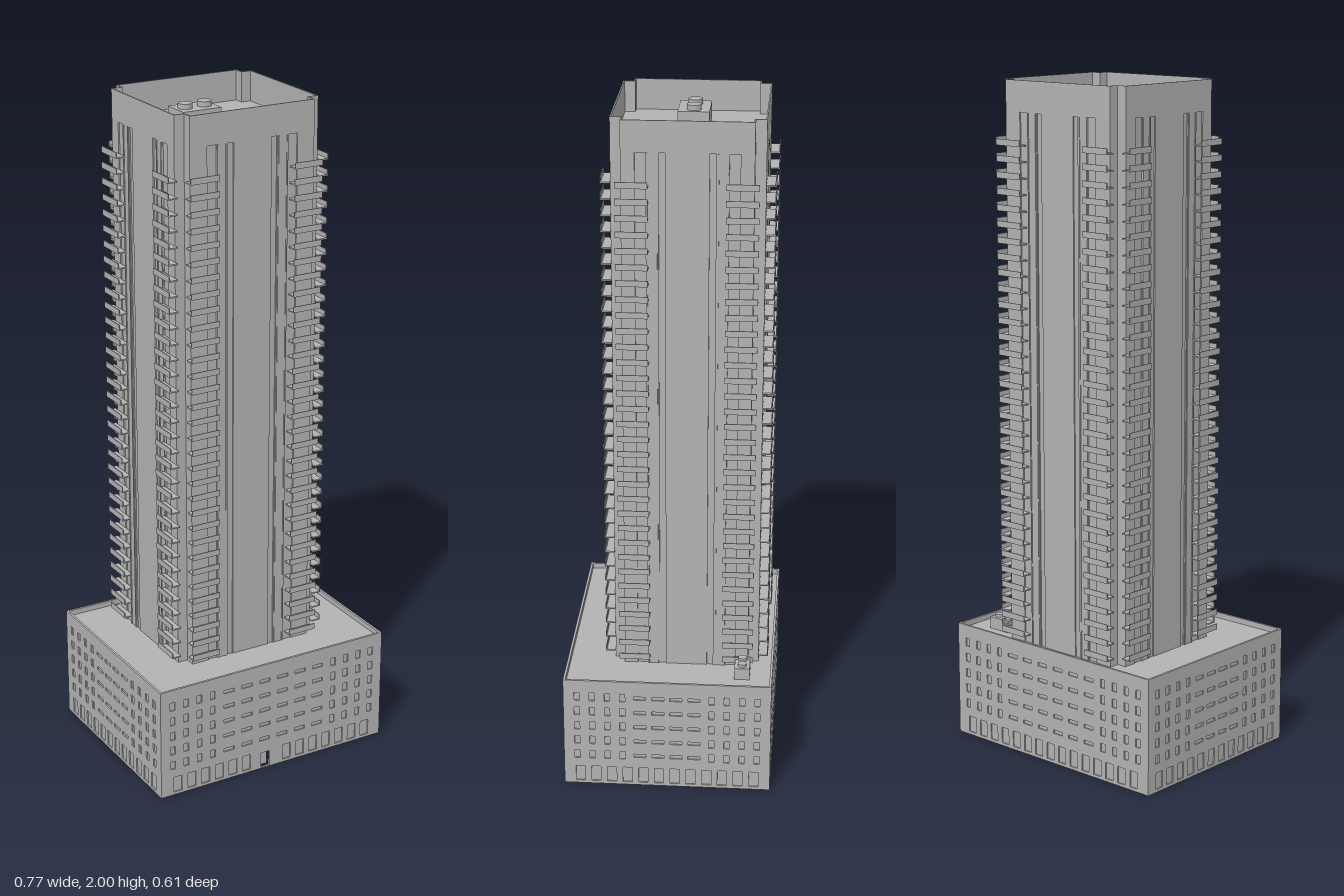
import * as THREE from 'three';

const concrete = new THREE.MeshStandardMaterial({ color: 0xb3b3b3 });
concrete.name = 'concrete grey';

const TOWER_Z = -0.047;
const A = 0.231, B = 0.215, NOTCH = 0.031; // tower half width, half depth, corner notch
const POD_X = 0.385, POD_Z = 0.307, POD_H = 0.35, POD_ROOF = 0.333;
const ROOF = 1.91;

function add(parent, name, geometry, x = 0, y = 0, z = 0) {
  const mesh = new THREE.Mesh(geometry, concrete);
  mesh.name = name;
  mesh.position.set(x, y, z);
  parent.add(mesh);
  return mesh;
}

function box(parent, name, w, h, d, x, y, z) {
  return add(parent, name, new THREE.BoxGeometry(w, h, d), x, y, z);
}

// Plan outline with notched corners; grooves are [centre, width] pairs on each face
function plan(a, b, notch, grooves = []) {
  const pts = [];
  for (let s = 0; s < 4; s++) {
    const half = (s % 2 ? b : a) - notch, dist = s % 2 ? a : b;
    const face = [[half, dist]];
    for (const [c, w] of grooves) {
      face.push([c + w / 2, dist], [c + w / 2, dist - 0.004], [c - w / 2, dist - 0.004], [c - w / 2, dist]);
    }
    face.push([-half, dist], [-half, dist - notch]);
    for (const [u, v] of face) {
      pts.push(new THREE.Vector2(u, v).rotateAround(new THREE.Vector2(), s * Math.PI / 2));
    }
  }
  return pts;
}

function extrudeUp(shape, height) {
  return new THREE.ExtrudeGeometry(shape, { depth: height, bevelEnabled: false }).rotateX(-Math.PI / 2);
}

function rect(x0, y0, x1, y1, Kind = THREE.Path) {
  const p = new Kind();
  p.moveTo(x0, y0);
  p.lineTo(x1, y0);
  p.lineTo(x1, y1);
  p.lineTo(x0, y1);
  p.closePath();
  return p;
}

// Four facades around the podium: pierced outer skin over a plain backing
function podium(parent) {
  const skin = 0.004, back = 0.003;
  for (let s = 0; s < 4; s++) {
    const side = new THREE.Group();
    side.name = 'podiumFacade';
    side.rotation.y = s * Math.PI / 2;
    parent.add(side);
    const half = s % 2 ? POD_Z : POD_X, dist = s % 2 ? POD_X : POD_Z;
    const door = s === 0 ? rect(-0.043, 0.002, -0.013, 0.053) : null;
    const wall = rect(-half, 0, half, POD_H, THREE.Shape);
    const inner = rect(-half + 0.004, 0, half - 0.004, POD_H, THREE.Shape);
    const hole = (x, y, w, h) => wall.holes.push(rect(x - w / 2, y - h / 2, x + w / 2, y + h / 2));

    // Upper windows: narrow upright ones at the ends, wide low ones between
    const middle = half - 0.2, cols = s % 2 ? 4 : 6;
    for (let r = 0; r < 5; r++) {
      const y = 0.1 + r * 0.049;
      for (let c = 0; c < 4; c++) {
        for (const m of [-1, 1]) hole(m * (half - 0.04 - c * 0.045), y, 0.016, 0.026);
      }
      for (let c = 0; c < cols; c++) {
        hole(-middle + (c + 0.5) * 2 * middle / cols, y, 0.036, 0.011);
      }
    }
    // Ground floor openings
    const n = Math.floor((2 * half - 0.02) / 0.047);
    for (let i = 0; i < n; i++) {
      const x = (i - (n - 1) / 2) * 0.047;
      if (door && Math.abs(x + 0.028) < 0.035) continue;
      hole(x, 0.034, 0.028, 0.05);
    }
    if (door) {
      wall.holes.push(door);
      inner.holes.push(door);
      box(side, 'entranceDoor', 0.034, 0.053, 0.004, -0.028, 0.0265, dist - 0.022);
    }
    add(side, 'podiumWall', new THREE.ExtrudeGeometry(wall, { depth: skin, bevelEnabled: false }), 0, 0, dist - skin);
    add(side, 'podiumBacking', new THREE.ExtrudeGeometry(inner, { depth: back, bevelEnabled: false }), 0, 0, dist - skin - back);
  }
  box(parent, 'podiumRoof', 2 * POD_X - 0.01, 0.006, 2 * POD_Z - 0.01, 0, POD_ROOF - 0.003, 0);
}

// Roof cooling unit with two round fans
function coolingUnit(parent, x, y, z, w, d, h, r) {
  const unit = new THREE.Group();
  unit.name = 'coolingUnit';
  unit.position.set(x, y, z);
  parent.add(unit);
  box(unit, 'unitCase', w, h, d, 0, h / 2, 0);
  for (const m of [-1, 1]) {
    add(unit, 'unitFan', new THREE.CylinderGeometry(r, r, r * 0.7, 24), m * w * 0.25, h + r * 0.35, 0);
  }
}

// One stack of balconies on a facade: thin slab with an upright front panel
function balconyStack(parent, u, dist) {
  const slab = new THREE.BoxGeometry(0.091, 0.004, 0.028);
  const panel = new THREE.BoxGeometry(0.091, 0.018, 0.003);
  for (let i = 0; i < 32; i++) {
    const y = 0.358 + i * 0.047;
    add(parent, 'balconySlab', slab, u, y + 0.002, dist + 0.013);
    add(parent, 'balconyPanel', panel, u, y + 0.009, dist + 0.0265);
  }
}

function tower(parent) {
  // Grooved shaft and parapet ring
  const grooves = [[0.13, 0.03], [0.07, 0.018], [-0.07, 0.018], [-0.13, 0.03]];
  const shaft = new THREE.Shape(plan(A, B, NOTCH, grooves));
  add(parent, 'towerShaft', extrudeUp(shaft, ROOF - POD_ROOF), 0, POD_ROOF, 0);
  const ring = new THREE.Shape(plan(A, B, NOTCH));
  ring.holes.push(new THREE.Path(plan(A - 0.004, B - 0.004, NOTCH)));
  add(parent, 'parapet', extrudeUp(ring, 2 - ROOF), 0, ROOF, 0);

  // Fins and balconies on each face
  for (let s = 0; s < 4; s++) {
    const side = new THREE.Group();
    side.name = 'towerFacade';
    side.rotation.y = s * Math.PI / 2;
    parent.add(side);
    const dist = s % 2 ? A : B, u = s % 2 ? 0.153 : 0.167;
    for (const m of [-1, 1]) {
      balconyStack(side, m * u, dist);
      for (const f of [0.085, 0.112]) {
        box(side, 'verticalFin', 0.004, ROOF - POD_ROOF, 0.006, m * f, (ROOF + POD_ROOF) / 2, dist - 0.001);
      }
    }
  }
}

export function createModel() {
  const model = new THREE.Group();
  model.name = 'towerBlock';

  podium(model);

  const shaft = new THREE.Group();
  shaft.name = 'tower';
  shaft.position.z = TOWER_Z;
  model.add(shaft);
  tower(shaft);

  // Rooftop equipment
  coolingUnit(model, -0.062, ROOF, -0.048, 0.123, 0.09, 0.055, 0.021);
  coolingUnit(model, 0.277, POD_ROOF, -0.217, 0.075, 0.045, 0.036, 0.013);
  box(model, 'roofVent', 0.014, 0.02, 0.014, 0.091, ROOF + 0.01, 0.075);
  return model;
}
